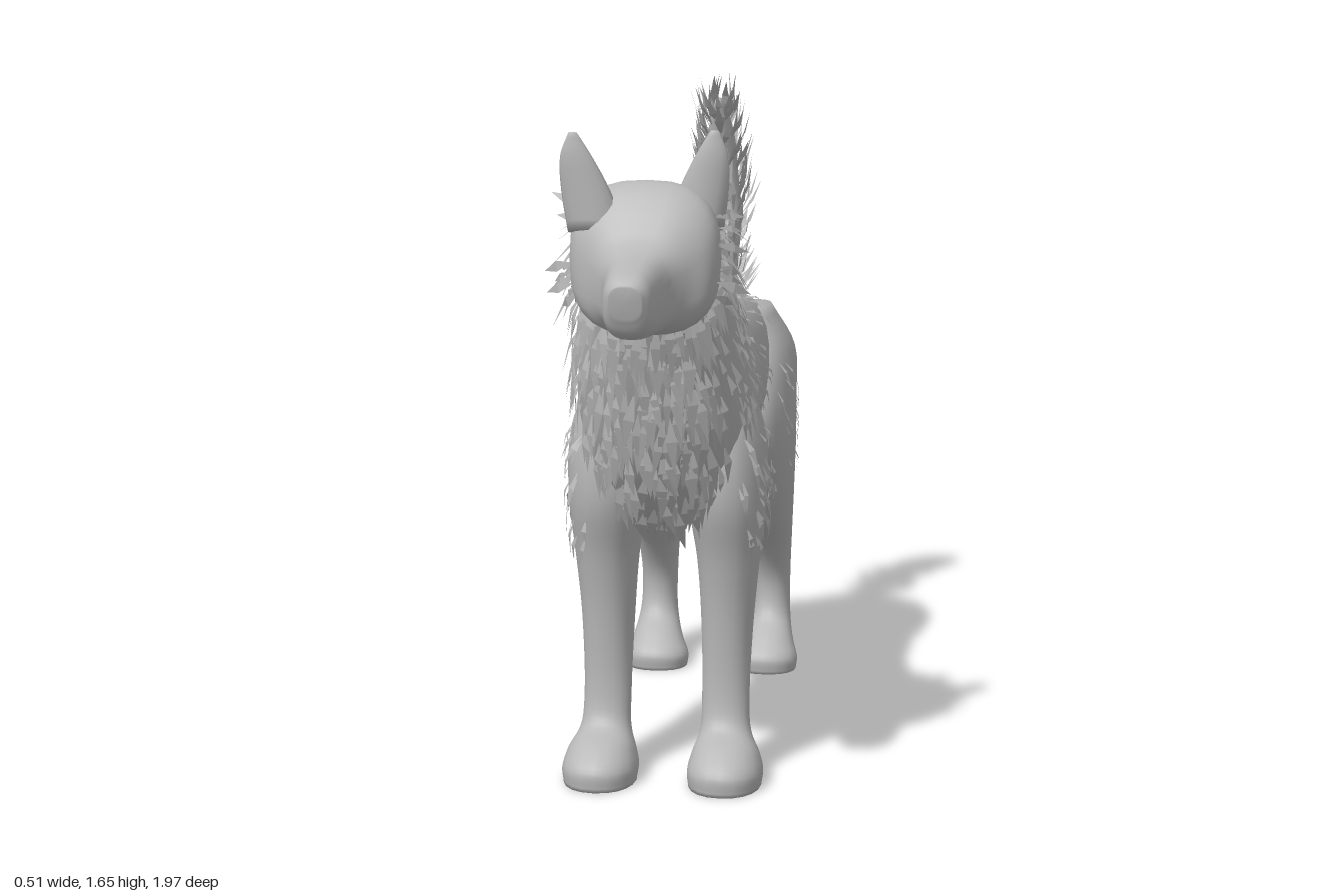
import * as THREE from 'three';

const coat = new THREE.MeshStandardMaterial({ color: 0xb8b8b8, side: THREE.DoubleSide });
coat.name = 'grey coat';

// Seeded random numbers keep the fur the same every time
let seed = 7;
const rand = (a = 0, b = 1) => {
  seed = (seed * 16807) % 2147483647;
  return a + (b - a) * seed / 2147483647;
};

// Each ring is [z, y, z, y of two opposite edge points, half width, centre x].
// Returns a function giving the surface point at t along and angle around.
function surface(rings, side = 1, power = 1) {
  const a = new THREE.CatmullRomCurve3(rings.map(r => new THREE.Vector3((r[5] || 0) * side, r[1], r[0])));
  const b = new THREE.CatmullRomCurve3(rings.map(r => new THREE.Vector3(r[4], r[3], r[2])));
  const bend = v => Math.sign(v) * Math.abs(v) ** power;
  return (t, angle) => {
    const p = a.getPoint(t), q = b.getPoint(t);
    const c = bend(Math.cos(angle)), s = bend(Math.sin(angle));
    return new THREE.Vector3(
      p.x + q.x * c,
      (p.y + q.y) / 2 + (p.y - q.y) / 2 * s,
      (p.z + q.z) / 2 + (p.z - q.z) / 2 * s);
  };
}

// Closed smooth skin over a surface function
function skin(name, at, steps, sides = 24) {
  const pts = [], index = [];
  for (let i = 0; i <= steps; i++)
    for (let j = 0; j < sides; j++) pts.push(at(i / steps, j / sides * Math.PI * 2));
  for (const end of [0, steps]) {
    const mid = new THREE.Vector3();
    for (let j = 0; j < sides; j++) mid.addScaledVector(pts[end * sides + j], 1 / sides);
    pts.push(mid);
  }
  const first = pts.length - 2, last = pts.length - 1;
  for (let j = 0; j < sides; j++) {
    const k = (j + 1) % sides;
    for (let i = 0; i < steps; i++) {
      const p = i * sides, q = p + sides;
      index.push(p + j, p + k, q + j, p + k, q + k, q + j);
    }
    index.push(first, k, j, last, steps * sides + j, steps * sides + k);
  }
  // Turn the faces outward
  let volume = 0;
  for (let i = 0; i < index.length; i += 3)
    volume += pts[index[i]].dot(pts[index[i + 1]].clone().cross(pts[index[i + 2]]));
  if (volume < 0) index.reverse();
  const geo = new THREE.BufferGeometry().setFromPoints(pts);
  geo.setIndex(index);
  geo.computeVertexNormals();
  const mesh = new THREE.Mesh(geo, coat);
  mesh.name = name;
  return mesh;
}

// Pointed blades of fur combed along a flow direction over a surface
function fur(name, at, { count, t, angle = [0, Math.PI * 2], flow, tilt, length, width }) {
  const pts = [];
  for (let i = 0; i < count; i++) {
    const u = rand(...t), v = rand(...angle);
    const root = at(u, v);
    const centre = at(u, v).add(at(u, v + Math.PI)).multiplyScalar(0.5);
    const along = at(Math.min(u + 0.01, 1), v).sub(at(Math.max(u - 0.01, 0), v));
    const normal = at(u, v + 0.05).sub(at(u, v - 0.05)).cross(along).normalize();
    if (normal.dot(root.clone().sub(centre)) < 0) normal.negate();
    const dir = new THREE.Vector3(...flow);
    dir.x += rand(-0.25, 0.25);
    dir.z += rand(-0.2, 0.2);
    dir.addScaledVector(normal, -dir.dot(normal)).normalize();
    const across = dir.clone().cross(normal).multiplyScalar(rand(0.7, 1.2) * width);
    dir.addScaledVector(normal, rand(0.4, 1.2) * tilt).normalize();
    const len = rand(...length);
    const tip = root.clone().addScaledVector(dir, len);
    const mid = root.clone().addScaledVector(dir, len * 0.45).addScaledVector(normal, 0.006);
    const left = mid.clone().add(across), right = mid.clone().sub(across);
    root.addScaledVector(normal, -0.004);
    pts.push(root, right, left, left, right, tip);
  }
  const geo = new THREE.BufferGeometry().setFromPoints(pts);
  geo.computeVertexNormals();
  const mesh = new THREE.Mesh(geo, coat);
  mesh.name = name;
  return mesh;
}

export function createModel() {
  seed = 7;
  const wolf = new THREE.Group();
  wolf.name = 'wolf';

  // Body from rump to the top of the neck
  const body = surface([
    [-0.73, 1.01, -0.72, 0.88, 0.07], [-0.68, 1.06, -0.68, 0.77, 0.15],
    [-0.55, 1.09, -0.52, 0.68, 0.19], [-0.35, 1.13, -0.33, 0.66, 0.185],
    [-0.15, 1.125, -0.17, 0.65, 0.175], [0.02, 1.11, 0.02, 0.625, 0.18],
    [0.17, 1.15, 0.18, 0.605, 0.195], [0.27, 1.2, 0.37, 0.635, 0.205],
    [0.36, 1.29, 0.51, 0.76, 0.195], [0.45, 1.37, 0.62, 0.94, 0.175],
    [0.54, 1.44, 0.7, 1.12, 0.155], [0.62, 1.45, 0.74, 1.2, 0.12]], 1, 0.9);
  wolf.add(skin('body', body, 55, 28));

  // Head and muzzle
  const head = surface([
    [0.54, 1.42, 0.56, 1.2, 0.1], [0.6, 1.47, 0.62, 1.15, 0.155],
    [0.69, 1.48, 0.69, 1.14, 0.17], [0.745, 1.43, 0.74, 1.145, 0.152],
    [0.79, 1.365, 0.78, 1.155, 0.105], [0.83, 1.34, 0.83, 1.155, 0.076],
    [0.92, 1.32, 0.91, 1.16, 0.06], [0.975, 1.305, 0.96, 1.175, 0.052],
    [1.0, 1.285, 0.985, 1.215, 0.035]], 1, 0.75);
  wolf.add(skin('head', head, 40, 28));

  // Tail core
  const tail = surface([
    [-0.68, 1.06, -0.7, 0.95, 0.05], [-0.72, 1.1, -0.8, 1.0, 0.05],
    [-0.77, 1.17, -0.87, 1.1, 0.05], [-0.81, 1.25, -0.91, 1.22, 0.055],
    [-0.81, 1.36, -0.9, 1.36, 0.046], [-0.78, 1.48, -0.86, 1.5, 0.035],
    [-0.75, 1.57, -0.78, 1.58, 0.01]]);
  wolf.add(skin('tail', tail, 28, 14));

  for (const side of [-1, 1]) {
    const label = side > 0 ? 'left' : 'right';

    // Front leg with paw
    const front = surface([
      [0.4, 1.0, 0.22, 1.0, 0.05, 0.13], [0.44, 0.86, 0.15, 0.85, 0.088, 0.145],
      [0.45, 0.7, 0.15, 0.68, 0.094, 0.145], [0.41, 0.55, 0.19, 0.53, 0.076, 0.148],
      [0.385, 0.4, 0.225, 0.38, 0.064, 0.146], [0.38, 0.2, 0.28, 0.2, 0.058, 0.145],
      [0.4, 0.135, 0.297, 0.1, 0.063, 0.147], [0.47, 0.1, 0.287, 0.05, 0.082, 0.151],
      [0.525, 0.05, 0.285, 0.025, 0.092, 0.152], [0.525, 0.003, 0.29, 0.003, 0.088, 0.152]], side, 0.9);
    wolf.add(skin(label + ' front leg', front, 45, 20));

    // Hind leg with thigh, hock and paw
    const hind = surface([
      [-0.4, 1.05, -0.64, 1.04, 0.05, 0.12], [-0.32, 0.92, -0.7, 0.93, 0.09, 0.145],
      [-0.28, 0.74, -0.725, 0.8, 0.095, 0.145], [-0.37, 0.58, -0.725, 0.68, 0.09, 0.147],
      [-0.49, 0.45, -0.735, 0.55, 0.077, 0.151], [-0.61, 0.34, -0.775, 0.4, 0.06, 0.157],
      [-0.665, 0.24, -0.808, 0.28, 0.05, 0.16], [-0.655, 0.15, -0.775, 0.14, 0.052, 0.16],
      [-0.59, 0.095, -0.72, 0.06, 0.07, 0.156], [-0.543, 0.045, -0.7, 0.025, 0.087, 0.153],
      [-0.545, 0.003, -0.7, 0.003, 0.083, 0.153]], side, 0.9);
    wolf.add(skin(label + ' hind leg', hind, 50, 20));

    // Ear, one held a little further back
    const z = side > 0 ? 0.655 : 0.745;
    const ear = surface([
      [z + 0.01, 1.38, z - 0.08, 1.36, 0.065, 0.105], [z + 0.01, 1.47, z - 0.05, 1.46, 0.055, 0.127],
      [z + 0.01, 1.545, z - 0.02, 1.54, 0.035, 0.146], [z + 0.005, 1.595, z - 0.005, 1.59, 0.01, 0.152]], side);
    wolf.add(skin(label + ' ear', ear, 12, 14));

    // Cheek, shoulder and thigh fur
    const out = side > 0 ? 0 : Math.PI;
    wolf.add(fur(label + ' cheek fur', head, { count: 26, t: [0.1, 0.34], angle: [out - 0.9, out + 0.5],
      flow: [0, -0.3, -1], tilt: 0.6, length: [0.06, 0.12], width: 0.011 }));
    wolf.add(fur(label + ' shoulder fur', front, { count: 40, t: [0.1, 0.3], angle: [out - 1.2, out + 1.2],
      flow: [0, -1, -0.4], tilt: 0.12, length: [0.06, 0.11], width: 0.008 }));
    wolf.add(fur(label + ' thigh fur', hind, { count: 30, t: [0.08, 0.33], angle: [out - 1.1, out + 1.1],
      flow: [0, -1, -0.4], tilt: 0.06, length: [0.05, 0.1], width: 0.005 }));
  }

  // Mane and chest ruff
  wolf.add(fur('mane', body, { count: 380, t: [0.68, 0.97],
    flow: [0, -1, -0.5], tilt: 0.22, length: [0.08, 0.16], width: 0.012 }));
  wolf.add(fur('chest ruff', body, { count: 130, t: [0.66, 0.96], angle: [Math.PI * 1.2, Math.PI * 1.8],
    flow: [0, -1, -0.35], tilt: 0.25, length: [0.1, 0.16], width: 0.014 }));

  // Sparse coat, belly and rump fur
  wolf.add(fur('back and side fur', body, { count: 260, t: [0.06, 0.68],
    flow: [0, -0.7, -0.8], tilt: 0.08, length: [0.06, 0.11], width: 0.006 }));
  wolf.add(fur('belly fur', body, { count: 60, t: [0.35, 0.68], angle: [Math.PI * 1.3, Math.PI * 1.7],
    flow: [0, -0.2, -1], tilt: 0.3, length: [0.06, 0.1], width: 0.01 }));
  wolf.add(fur('rump fur', body, { count: 45, t: [0.0, 0.06],
    flow: [0, -1, -0.4], tilt: 0.4, length: [0.06, 0.12], width: 0.009 }));

  // Bushy tail fur
  wolf.add(fur('tail fur', tail, { count: 300, t: [0.12, 0.93],
    flow: [0, 1, 0.1], tilt: 0.45, length: [0.07, 0.13], width: 0.011 }));
  return wolf;
}
